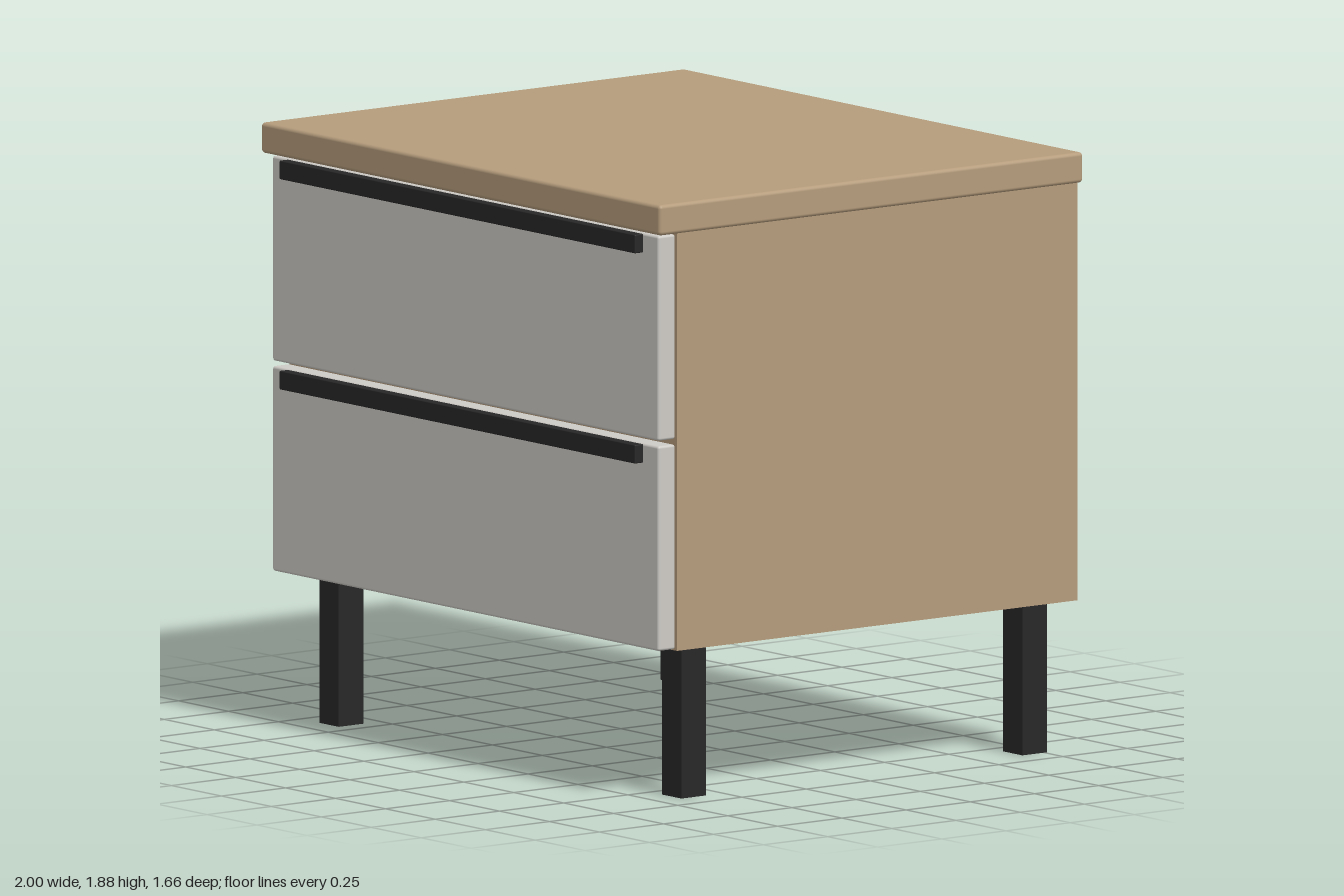
import * as THREE from 'three';
import { RoundedBoxGeometry } from 'three/addons/geometries/RoundedBoxGeometry.js';

const wood = new THREE.MeshStandardMaterial({ color: 0xb59c7c });
const paint = new THREE.MeshStandardMaterial({ color: 0xcecbc6 });
const black = new THREE.MeshStandardMaterial({ color: 0x272727 });

// Box given by its extents on each axis; r > 0 rounds the edges
function block(parent, name, material, [x0, x1], [y0, y1], [z0, z1], r = 0) {
  const size = [x1 - x0, y1 - y0, z1 - z0];
  const geometry = r > 0
    ? new RoundedBoxGeometry(...size, 3, r)
    : new THREE.BoxGeometry(...size);
  const mesh = new THREE.Mesh(geometry, material);
  mesh.name = name;
  mesh.position.set((x0 + x1) / 2, (y0 + y1) / 2, (z0 + z1) / 2);
  parent.add(mesh);
  return mesh;
}

export function createModel() {
  const model = new THREE.Group();
  model.name = 'nightstand';

  // Carcass: a frame of thick panels with a slightly recessed back
  const carcass = new THREE.Group();
  carcass.name = 'carcass';
  model.add(carcass);
  const W = 0.97, T = 0.065, bottom = 0.475, top = 1.78, back = -0.83, front = 0.73;
  const inner = [-W + T, W - T];
  block(carcass, 'rightSide', wood, [-W, -W + T], [bottom, top], [back, front]);
  block(carcass, 'leftSide', wood, [W - T, W], [bottom, top], [back, front]);
  block(carcass, 'bottomPanel', wood, inner, [bottom, bottom + T], [back, front]);
  block(carcass, 'upperPanel', wood, inner, [top - T, top], [back, front]);
  block(carcass, 'backPanel', wood, inner, [bottom + T, top - T], [back + 0.015, back + 0.045]);
  block(carcass, 'middleRail', wood, inner, [1.09, 1.16], [front - 0.1, front]);

  // Overhanging top with softened edges
  block(model, 'tabletop', wood, [-1, 1], [top, 1.875], [back, 0.82], 0.012);

  // Two drawer fronts, each with a long bar handle along its upper edge
  for (const [name, y0, y1] of [['lowerDrawer', 0.48, 1.118], ['upperDrawer', 1.135, 1.773]]) {
    const drawer = new THREE.Group();
    drawer.name = name;
    block(drawer, 'drawerFront', paint, [-0.967, 0.967], [y0, y1], [0.733, 0.8], 0.008);
    block(drawer, 'handle', black, [-0.89, 0.89], [y1 - 0.06, y1 - 0.002], [0.798, 0.832], 0.003);
    model.add(drawer);
  }

  // Four square legs, inset from the corners
  const legs = new THREE.Group();
  legs.name = 'legs';
  model.add(legs);
  for (const x of [-0.858, 0.858]) {
    for (const z of [0.615, -0.713]) {
      block(legs, z > 0 ? 'frontLeg' : 'backLeg', black,
        [x - 0.048, x + 0.048], [0, bottom], [z - 0.048, z + 0.048]);
    }
  }

  return model;
}
